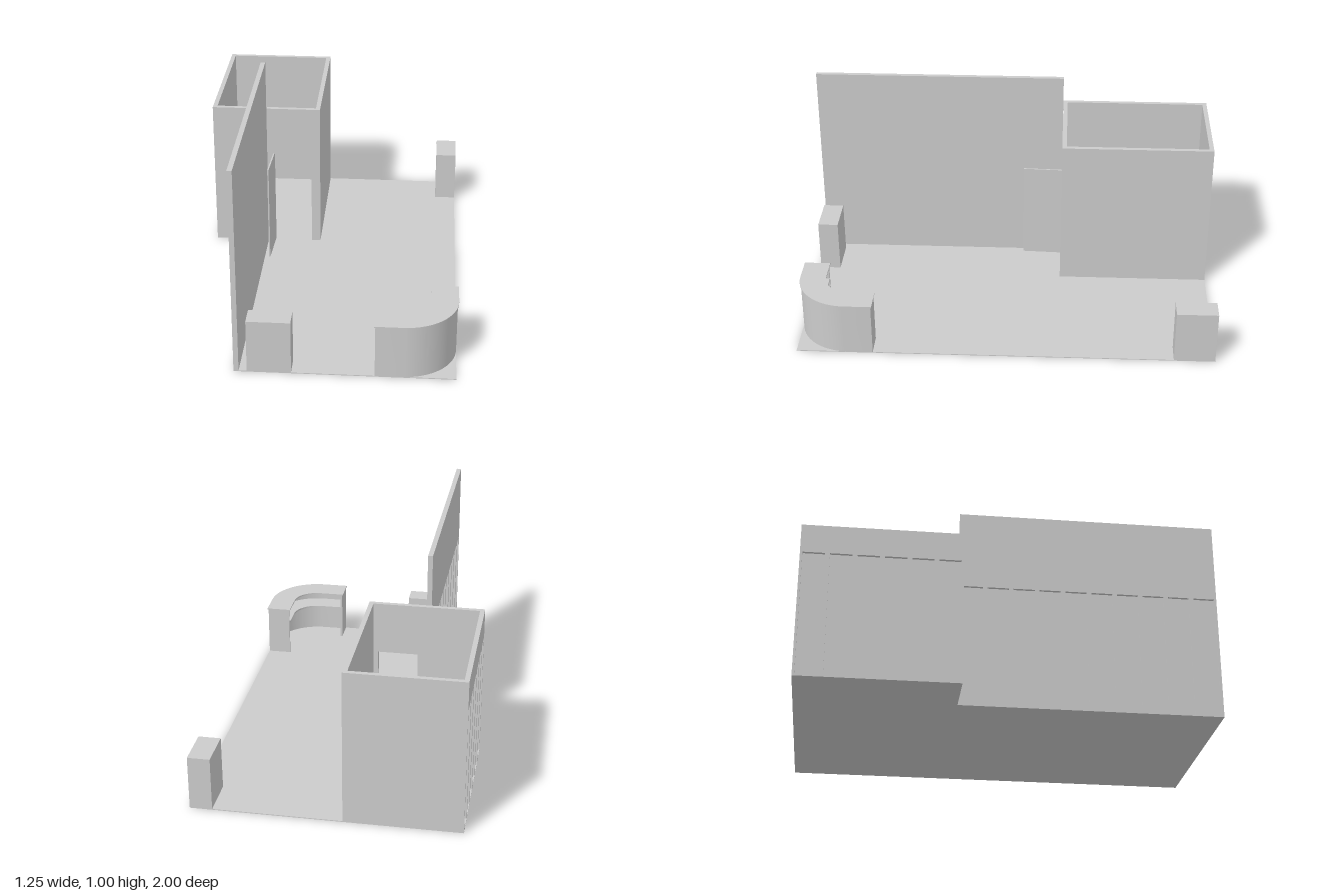
import * as THREE from 'three';
import { toCreasedNormals } from 'three/addons/utils/BufferGeometryUtils.js';

const material = new THREE.MeshStandardMaterial({ color: 0xcccccc, side: THREE.DoubleSide });

function add(parent, name, geometry) {
  const mesh = new THREE.Mesh(geometry, material);
  mesh.name = name;
  parent.add(mesh);
  return mesh;
}

// Box given by its extents on each axis
function block(parent, name, x0, x1, y0, y1, z0, z1) {
  const mesh = add(parent, name, new THREE.BoxGeometry(x1 - x0, y1 - y0, z1 - z0));
  mesh.position.set((x0 + x1) / 2, (y0 + y1) / 2, (z0 + z1) / 2);
  return mesh;
}

// Wall facing -x with a row of tall recessed panels between slim posts
function panelledWall(parent, name, x, thickness, height, z0, z1, count) {
  const wall = new THREE.Group();
  wall.name = name;
  parent.add(wall);
  const depth = 0.014, panelTop = 0.61, post = 0.022;
  block(wall, 'backing', x + depth, x + thickness, 0, height, z0, z1);
  block(wall, 'upperBand', x, x + depth, panelTop, height, z0, z1);
  const pitch = (z1 - z0) / count;
  for (let i = 0; i <= count; i++) {
    const z = z0 + i * pitch;
    block(wall, 'post', x, x + depth, 0, panelTop, Math.max(z0, z - post / 2), Math.min(z1, z + post / 2));
  }
}

// Quarter-turn band with straight ends, lying flat
function curvedBand(parent, name, outer, inner, length, y, height) {
  const s = new THREE.Shape();
  s.moveTo(-length, -outer);
  s.lineTo(0, -outer);
  s.absarc(0, 0, outer, -Math.PI / 2, 0, false);
  s.lineTo(outer, length);
  s.lineTo(inner, length);
  s.lineTo(inner, 0);
  s.absarc(0, 0, inner, 0, -Math.PI / 2, true);
  s.lineTo(-length, -inner);
  s.closePath();
  const g = new THREE.ExtrudeGeometry(s, { depth: height, bevelEnabled: false, curveSegments: 20 });
  g.rotateX(-Math.PI / 2);
  add(parent, name, toCreasedNormals(g, 0.5)).position.y = y;
}

export function createModel() {
  const model = new THREE.Group();
  model.name = 'receptionHall';

  // Floor, with the side extension under the room
  block(model, 'floor', -0.38, 0.62, 0, 0.004, -1, 0.99);
  block(model, 'roomFloor', -0.63, -0.38, 0, 0.004, -1, -0.255);

  // Tall side wall
  panelledWall(model, 'tallWall', -0.38, 0.023, 1, -0.255, 0.99, 10);

  // Open-topped room
  const room = new THREE.Group();
  room.name = 'room';
  model.add(room);
  const t = 0.022, h = 0.75;
  panelledWall(room, 'panelledRoomWall', -0.63, t, h, -1, -0.255, 6);
  block(room, 'roomBackWall', -0.63 + t, -0.085, 0, h, -1, -1 + t);
  block(room, 'roomSideWall', -0.085 - t, -0.085, 0, h, -1 + t, -0.255);

  // Front wall with the doorway cut through
  const front = new THREE.Shape();
  [[-0.608, 0], [-0.32, 0], [-0.32, 0.5], [-0.13, 0.5], [-0.13, 0], [-0.107, 0], [-0.107, h], [-0.608, h]]
    .forEach(([x, y], i) => (i ? front.lineTo(x, y) : front.moveTo(x, y)));
  front.closePath();
  add(room, 'roomFrontWall', new THREE.ExtrudeGeometry(front, { depth: t, bevelEnabled: false }))
    .position.z = -0.255 - t;

  // Door standing open on its hinge
  const hinge = new THREE.Group();
  hinge.name = 'door';
  hinge.position.set(-0.32, 0, -0.255);
  hinge.rotation.y = -0.045;
  model.add(hinge);
  block(hinge, 'doorLeaf', -0.007, 0, 0.004, 0.5, 0, 0.196);

  // Two low cabinets
  block(model, 'frontCabinet', -0.32, -0.12, 0, 0.262, 0.89, 0.99);
  block(model, 'backCabinet', 0.515, 0.62, 0, 0.262, -1, -0.805);

  // Curved reception desk, open on the staff side
  const desk = new THREE.Group();
  desk.name = 'desk';
  desk.position.set(0.38, 0, 0.75);
  model.add(desk);
  curvedBand(desk, 'deskTop', 0.245, 0.12, 0.13, 0.258, 0.006);
  curvedBand(desk, 'deskFront', 0.24, 0.228, 0.125, 0, 0.258);
  curvedBand(desk, 'deskShelf', 0.228, 0.125, 0.12, 0.175, 0.008);
  block(desk, 'deskEnd', -0.125, -0.115, 0, 0.258, 0.125, 0.228);
  block(desk, 'deskEnd', 0.125, 0.228, 0, 0.258, -0.125, -0.115);

  return model;
}
